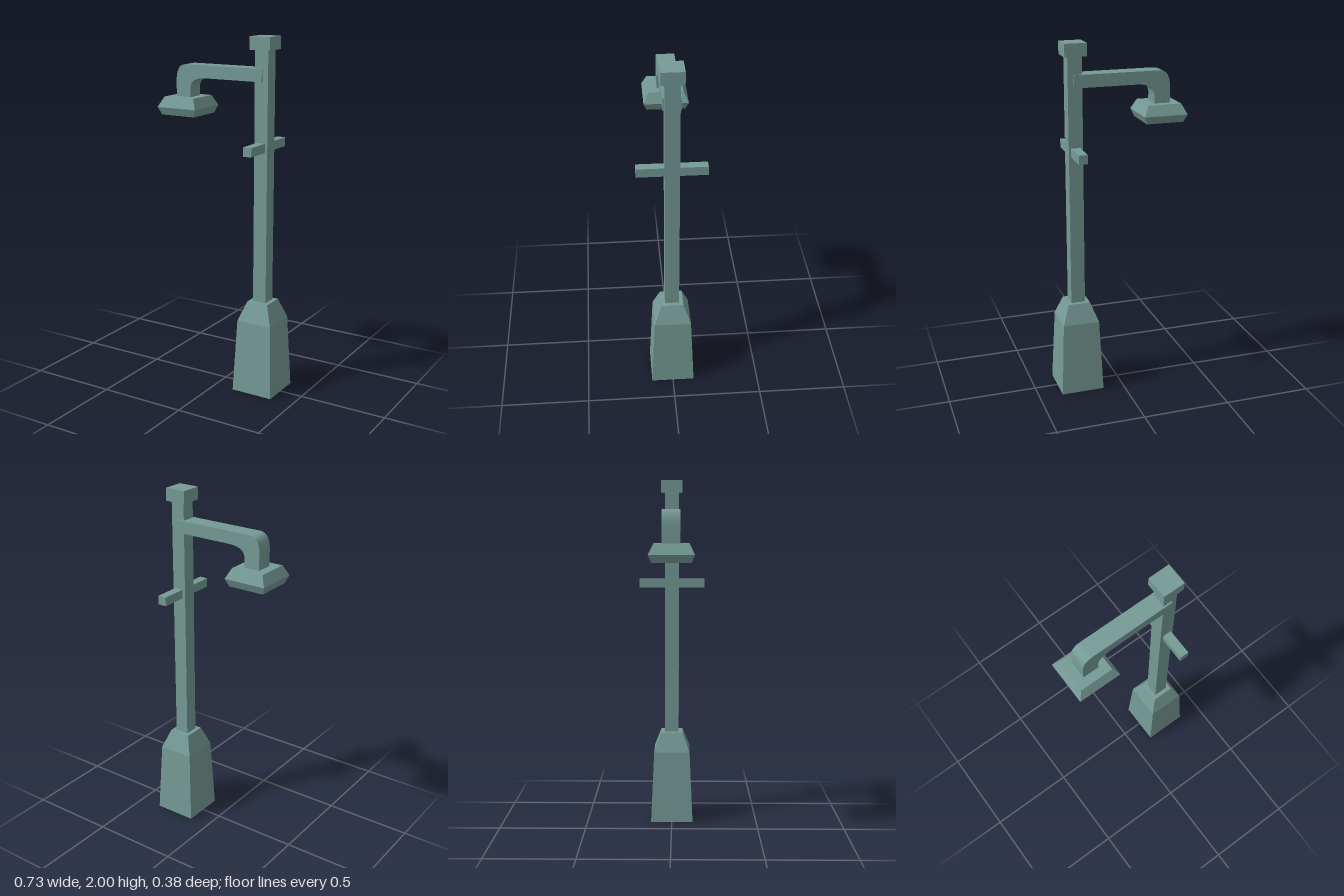
import * as THREE from 'three';
import { toCreasedNormals } from 'three/addons/utils/BufferGeometryUtils.js';

const material = new THREE.MeshStandardMaterial({ color: 0x769b96, flatShading: true });
const smoothMaterial = new THREE.MeshStandardMaterial({ color: 0x769b96 });

const POLE_X = 0.243;
const LAMP_X = -0.245;

export function createModel() {
  const group = new THREE.Group();

  function add(name, geometry, x, y, z = 0, mat = material) {
    const mesh = new THREE.Mesh(geometry, mat);
    mesh.name = name;
    mesh.position.set(x, y, z);
    group.add(mesh);
  }

  // Square-section solid from [half width, height] pairs, listed bottom to top
  function squareProfile(pairs) {
    const points = pairs.map(([half, y]) => new THREE.Vector2(half * Math.SQRT2, y));
    const geometry = new THREE.LatheGeometry(points, 4, Math.PI / 4).toNonIndexed();
    geometry.computeVertexNormals();
    return geometry;
  }

  // Tapered foot with a sloped shoulder
  add('base', squareProfile([[0, 0], [0.123, 0], [0.104, 0.42], [0.063, 0.53], [0, 0.53]]), POLE_X, 0);

  // Post, cap and ladder bar
  add('pole', new THREE.BoxGeometry(0.08, 1.42, 0.08), POLE_X, 1.23);
  add('cap', new THREE.BoxGeometry(0.122, 0.07, 0.122), POLE_X, 1.965);
  add('crossbar', new THREE.BoxGeometry(0.05, 0.05, 0.38), POLE_X + 0.002, 1.41);

  // Flat arm that bends down to the lamp
  const arm = new THREE.Shape();
  arm.moveTo(0.25, 1.762);
  arm.lineTo(0.25, 1.832);
  arm.lineTo(-0.225, 1.832);
  arm.bezierCurveTo(-0.265, 1.832, -0.285, 1.81, -0.29, 1.75);
  arm.lineTo(-0.29, 1.645);
  arm.lineTo(-0.2, 1.645);
  arm.lineTo(-0.2, 1.70);
  arm.bezierCurveTo(-0.195, 1.74, -0.175, 1.757, -0.11, 1.762);
  arm.closePath();
  const armGeometry = new THREE.ExtrudeGeometry(arm, { depth: 0.098, bevelEnabled: false, curveSegments: 8 });
  add('arm', toCreasedNormals(armGeometry, 0.6), 0, 0, -0.049, smoothMaterial);

  // Lamp head with a recessed underside
  add('lampHead', squareProfile([
    [0, 1.58], [0.062, 1.58], [0.074, 1.552], [0.105, 1.552],
    [0.123, 1.595], [0.095, 1.652], [0, 1.652],
  ]), LAMP_X, 0, 0.003);

  return group;
}
